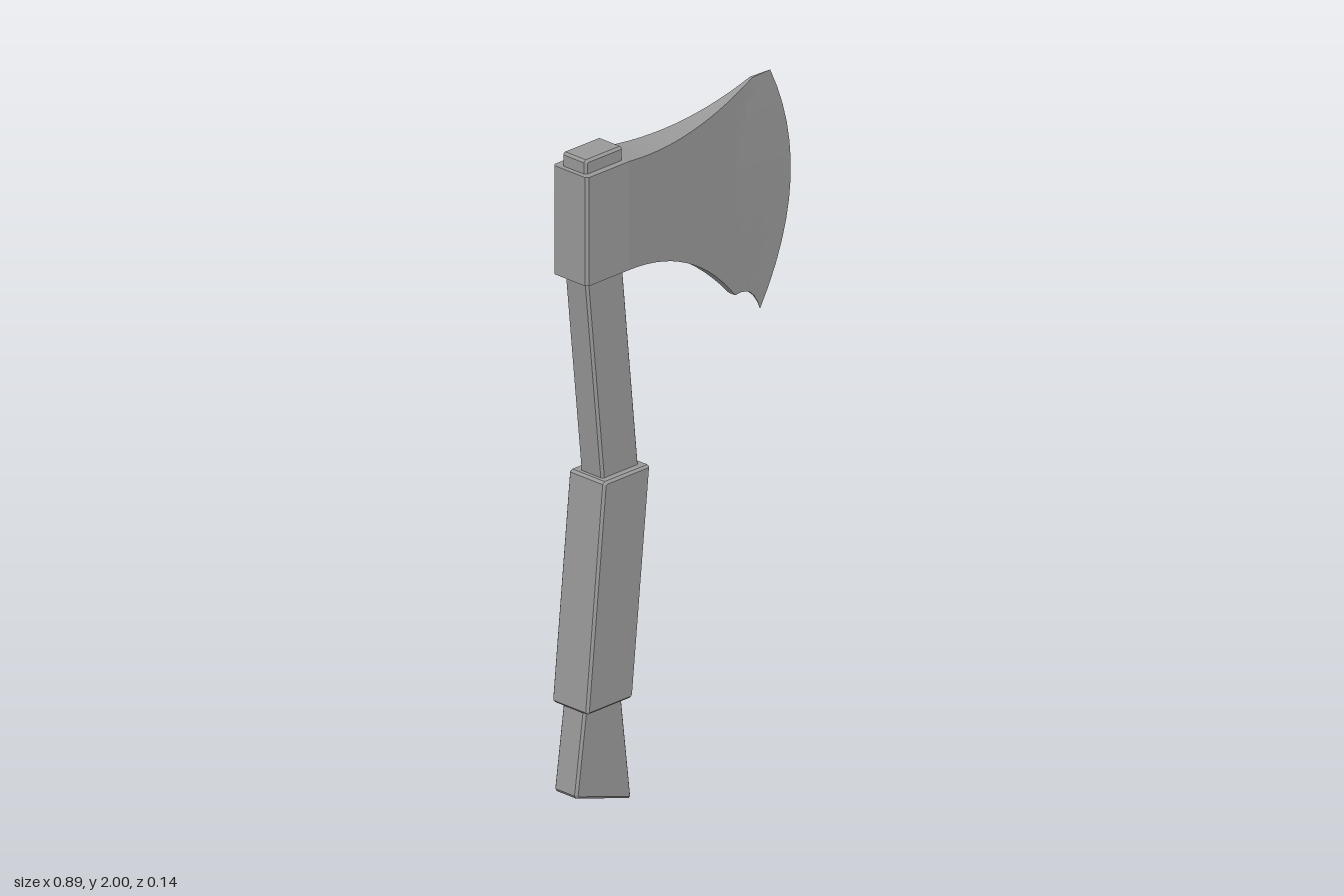
import * as THREE from 'three';

const material = new THREE.MeshStandardMaterial({ color: 0x999999, flatShading: true });

function addMesh(group, name, geometry) {
  const mesh = new THREE.Mesh(geometry, material);
  mesh.name = name;
  group.add(mesh);
}

// Outline with every corner cut by a small chamfer
function chamferedShape(corners, cut) {
  const pts = corners.map(([x, y]) => new THREE.Vector2(x, y));
  const out = [];
  pts.forEach((p, i) => {
    for (const q of [pts.at(i - 1), pts[(i + 1) % pts.length]]) {
      out.push(p.clone().add(q.clone().sub(p).setLength(cut)));
    }
  });
  return new THREE.Shape(out);
}

// Front outline given thickness along z, with bevelled rims
function bar(corners, half, bevel = 0.007) {
  const depth = 2 * (half - bevel);
  return new THREE.ExtrudeGeometry(chamferedShape(corners, 0.007), {
    depth, bevelThickness: bevel, bevelSize: bevel, bevelOffset: -bevel, bevelSegments: 1,
  }).translate(0, 0, -depth / 2);
}

// Wedge spanned between an upper and a lower edge curve, thinning to the cutting edge
function bladeGeometry() {
  const v = (x, y) => new THREE.Vector2(x, y);
  const topMain = new THREE.QuadraticBezierCurve(v(-0.26, 1.935), v(0.02, 1.8925), v(0.285, 2));
  const topTip = new THREE.LineCurve(v(0.285, 2), v(0.36, 2));
  const lowMain = new THREE.QuadraticBezierCurve(v(-0.26, 1.608), v(0.02, 1.59), v(0.21, 1.37));
  const lowTip = new THREE.QuadraticBezierCurve(v(0.21, 1.37), v(0.29, 1.38), v(0.32, 1.292));
  const main = 14, cols = 20, rows = 12;

  const outline = (i, j) => {
    const tip = i > main;
    const t = tip ? (i - main) / (cols - main) : i / main;
    const u = i / cols, w = j / rows;
    const p = (tip ? topTip : topMain).getPoint(t).lerp((tip ? lowTip : lowMain).getPoint(t), w);
    p.x += 0.4 * w * (1 - w) * u * u;
    return p;
  };

  const point = (i, j, side) => {
    const { x, y } = outline(i, j);
    const toEdge = outline(cols, j).x - x;
    let z = Math.min(Math.max(0.067 - 0.115 * (x + 0.26), 0.058 * toEdge), 0.12 * toEdge);
    // Small dent in the back, near the socket
    if (side < 0 && i === 3) z -= 0.02 * Math.max(0, 1 - Math.abs(j - 4) / 2);
    return [x, y, side * z];
  };

  const pos = [];
  const quad = (a, b, c, d) => pos.push(...a, ...b, ...c, ...a, ...c, ...d);
  for (let i = 0; i < cols; i++) {
    for (let j = 0; j < rows; j++) {
      quad(point(i, j, 1), point(i, j + 1, 1), point(i + 1, j + 1, 1), point(i + 1, j, 1));
      quad(point(i, j, -1), point(i + 1, j, -1), point(i + 1, j + 1, -1), point(i, j + 1, -1));
    }
    quad(point(i, 0, 1), point(i + 1, 0, 1), point(i + 1, 0, -1), point(i, 0, -1));
    quad(point(i, rows, -1), point(i + 1, rows, -1), point(i + 1, rows, 1), point(i, rows, 1));
  }
  const geometry = new THREE.BufferGeometry();
  geometry.setAttribute('position', new THREE.Float32BufferAttribute(pos, 3));
  geometry.computeVertexNormals();
  return geometry;
}

// Block around the handle, chamfered on its rear vertical edges
function socketGeometry() {
  const half = 0.067, c = 0.008, x0 = -0.427, x1 = -0.26;
  const shape = new THREE.Shape([[x1, -half], [x1, half], [x0 + c, half], [x0, half - c], [x0, c - half], [x0 + c, -half]]
    .map(([x, y]) => new THREE.Vector2(x, y)));
  return new THREE.ExtrudeGeometry(shape, { depth: 0.327, bevelEnabled: false })
    .rotateX(-Math.PI / 2).translate(0, 1.608, 0);
}

export function createModel() {
  const axe = new THREE.Group();
  axe.name = 'axe';

  // Handle, from the butt up to the end showing above the head
  addMesh(axe, 'handleButt', bar([[-0.447, 0.064], [-0.227, -0.002], [-0.268, 0.34], [-0.409, 0.34]], 0.044));
  addMesh(axe, 'grip', bar([[-0.429, 0.317], [-0.248, 0.317], [-0.179, 0.998], [-0.361, 0.998]], 0.07));
  addMesh(axe, 'upperHandle', bar([[-0.34, 0.97], [-0.196, 0.97], [-0.264, 1.65], [-0.409, 1.65]], 0.044));
  addMesh(axe, 'handleTop', bar([[-0.412, 1.88], [-0.264, 1.88], [-0.264, 1.976], [-0.412, 1.976]], 0.047));

  // Head
  addMesh(axe, 'headSocket', socketGeometry());
  addMesh(axe, 'blade', bladeGeometry());
  return axe;
}
